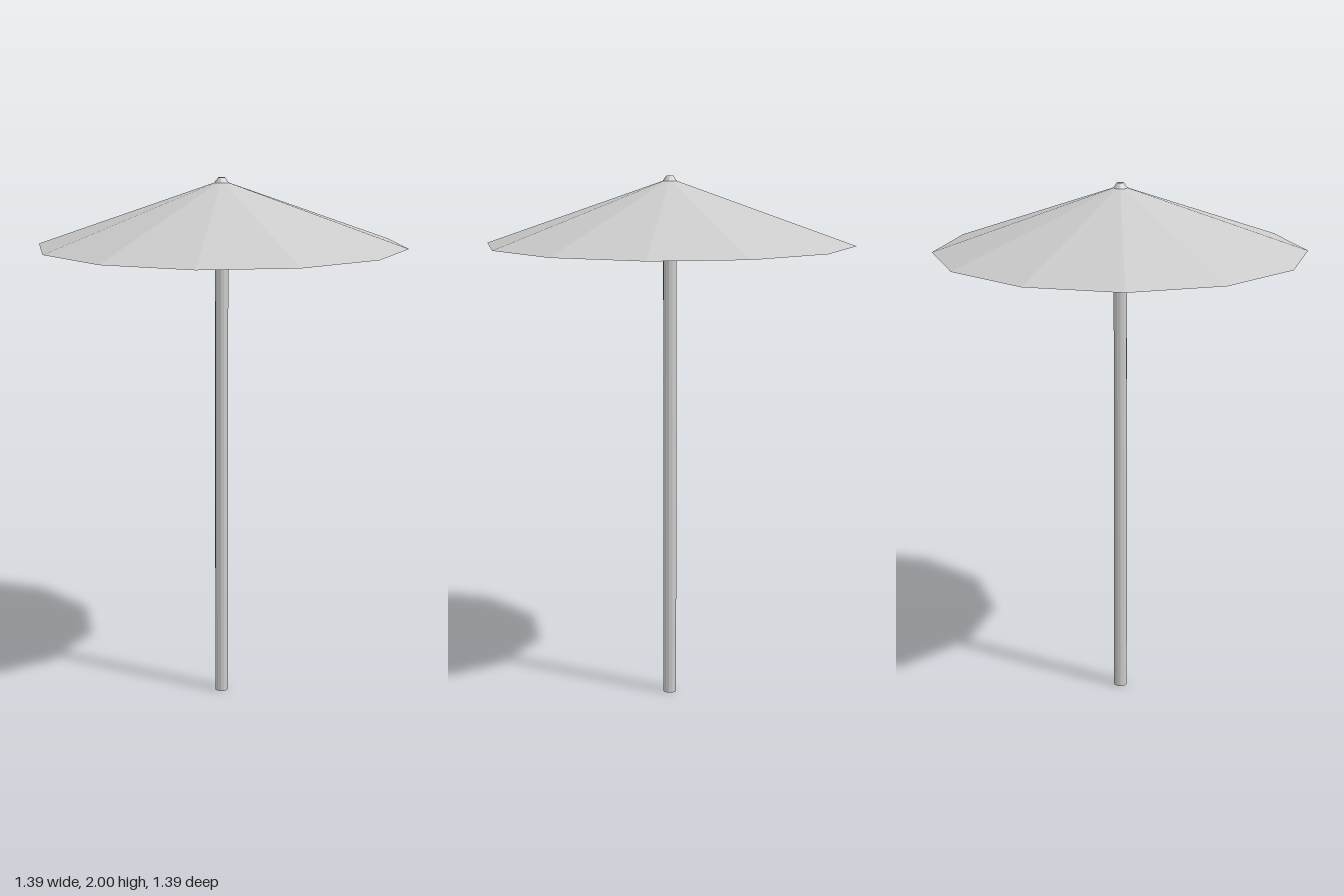
import * as THREE from 'three';

const SIDES = 12;
const material = new THREE.MeshStandardMaterial({ color: 0xcccccc, flatShading: true });
const clothMaterial = new THREE.MeshStandardMaterial({
  color: 0xcccccc, flatShading: true, side: THREE.DoubleSide,
});

// Round part standing between two heights
function roundPart(name, rTop, rBottom, y0, y1, mat = material, open = false) {
  const geometry = new THREE.CylinderGeometry(rTop, rBottom, y1 - y0, SIDES, 1, open);
  const mesh = new THREE.Mesh(geometry, mat);
  mesh.name = name;
  mesh.position.y = (y0 + y1) / 2;
  return mesh;
}

export function createModel() {
  const group = new THREE.Group();
  group.name = 'parasol';
  group.add(
    roundPart('pole', 0.025, 0.025, 0, 1.98),
    // Thin cloth, open underneath
    roundPart('canopy', 0, 0.695, 1.745, 1.99, clothMaterial, true),
    // Small tapered cap over the apex
    roundPart('finial', 0.013, 0.027, 1.98, 2),
  );
  return group;
}
